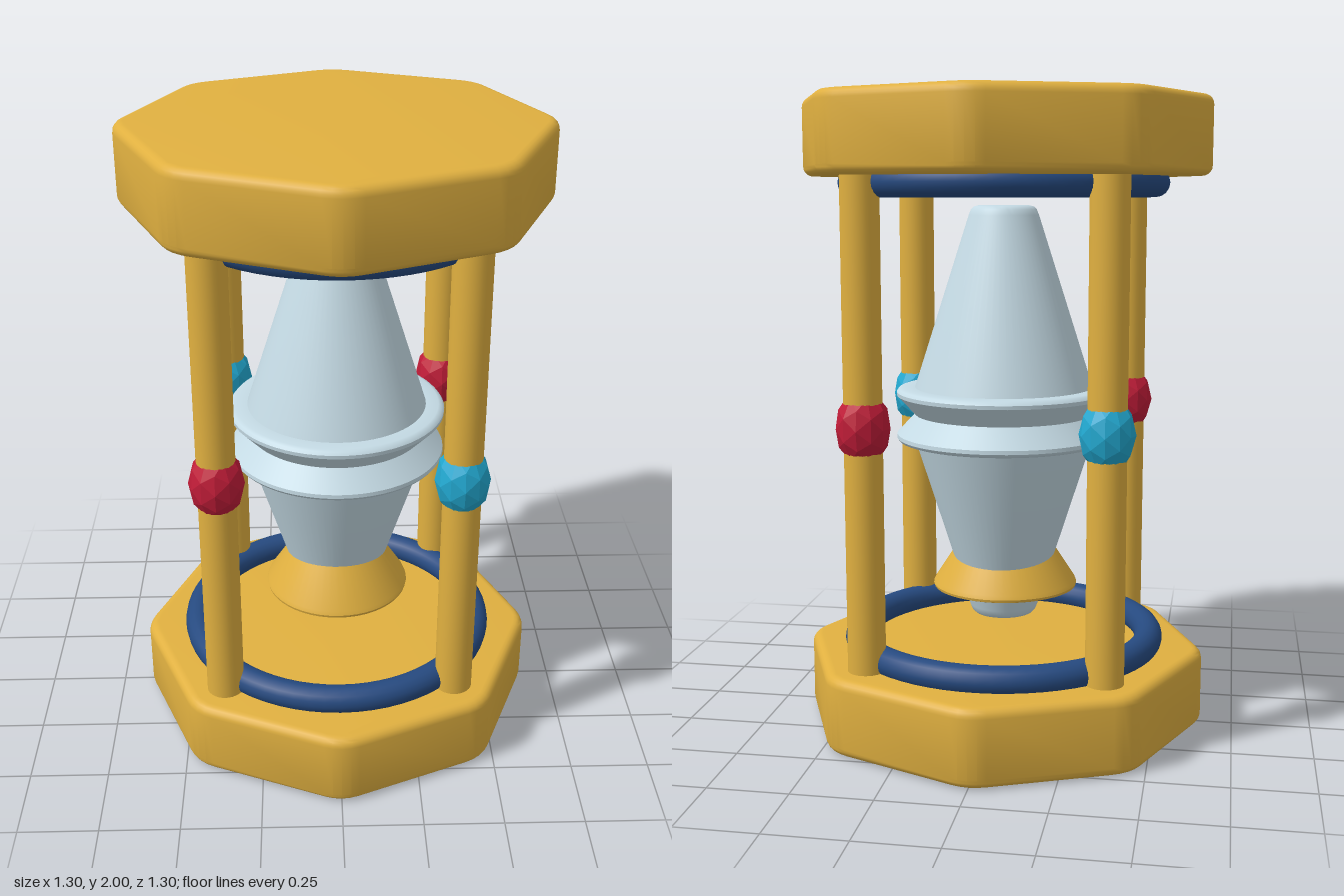
import * as THREE from 'three';
import { toCreasedNormals } from 'three/addons/utils/BufferGeometryUtils.js';

const paint = (color, flatShading = false) => new THREE.MeshStandardMaterial({ color, flatShading });

// Octagon with softened corners, points on the axes
function octagon(radius, soft) {
  const corner = (i) => new THREE.Vector2(Math.cos((i * Math.PI) / 4), Math.sin((i * Math.PI) / 4)).multiplyScalar(radius);
  const shape = new THREE.Shape();
  const edge = 2 * radius * Math.sin(Math.PI / 8);
  for (let i = 0; i < 8; i++) {
    const c = corner(i);
    const a = c.clone().lerp(corner(i - 1), soft / edge);
    const b = c.clone().lerp(corner(i + 1), soft / edge);
    if (i === 0) shape.moveTo(a.x, a.y);
    else shape.lineTo(a.x, a.y);
    shape.quadraticCurveTo(c.x, c.y, b.x, b.y);
  }
  shape.closePath();
  return shape;
}

// Lathe with hard edges kept where the profile turns sharply
function turned(points, sides = 48) {
  const profile = points.map(([r, y]) => new THREE.Vector2(r, y));
  return toCreasedNormals(new THREE.LatheGeometry(profile, sides), 0.6);
}

export function createModel() {
  const model = new THREE.Group();
  const gold = paint(0xe0b040);
  const navy = paint(0x264a80);
  const glass = paint(0xc4dae4);
  const red = paint(0xc01c38, true);
  const cyan = paint(0x22a8d0, true);

  const add = (name, geometry, material, x = 0, y = 0, z = 0) => {
    const mesh = new THREE.Mesh(geometry, material);
    mesh.name = name;
    mesh.position.set(x, y, z);
    model.add(mesh);
    return mesh;
  };

  // End plates: thick octagons with rounded edges
  const bevel = 0.03;
  const plate = new THREE.ExtrudeGeometry(octagon(0.6275, 0.05), {
    depth: 0.245 - 2 * bevel, bevelEnabled: true, bevelSize: bevel,
    bevelThickness: bevel, bevelSegments: 5, curveSegments: 4,
  });
  plate.rotateX(-Math.PI / 2).translate(0, bevel, 0);
  const plateGeometry = toCreasedNormals(plate, 0.5);
  add('basePlate', plateGeometry, gold);
  add('topPlate', plateGeometry, gold, 0, 1.755, 0);

  // Rings lying against the plates
  const ring = new THREE.TorusGeometry(0.475, 0.045, 16, 64).rotateX(Math.PI / 2);
  add('lowerRing', ring, navy, 0, 0.272, 0);
  add('upperRing', ring, navy, 0, 1.735, 0);

  // Four pillars, each with a faceted bead at mid height
  const pillar = new THREE.CylinderGeometry(0.059, 0.059, 1.6, 32);
  const bead = new THREE.IcosahedronGeometry(1, 1).scale(0.085, 0.116, 0.085);
  for (const x of [-1, 1]) {
    for (const z of [-1, 1]) {
      add('pillar', pillar, gold, 0.368 * x, 1, 0.368 * z);
      add('bead', bead, x === z ? cyan : red, 0.368 * x, 1.005, 0.368 * z);
    }
  }

  // Central vessel: two tapered halves meeting at a grooved double rim
  const half = [
    [0.285, 0.087], [0.325, 0.087], [0.337, 0.083], [0.344, 0.074], [0.343, 0.062], [0.285, 0],
  ];
  const tip = [[0, 0.662], [0.08, 0.662], [0.095, 0.658], [0.104, 0.649], [0.111, 0.632]];
  const upper = [...tip, ...half];
  const lower = upper.slice(0, -1).reverse();
  const profile = [...upper, ...lower.map(([r, y]) => [r, -y])].reverse();
  add('vessel', turned(profile, 64), glass, 0, 1.003, 0);

  // Flared cuff around the lower neck, set slightly forward
  const cuff = [
    [0, 0.427], [0.225, 0.427], [0.233, 0.43], [0.235, 0.438], [0.23, 0.45], [0.133, 0.6], [0, 0.6],
  ];
  add('cuff', turned(cuff), gold, 0, 0, 0.025);

  return model;
}
